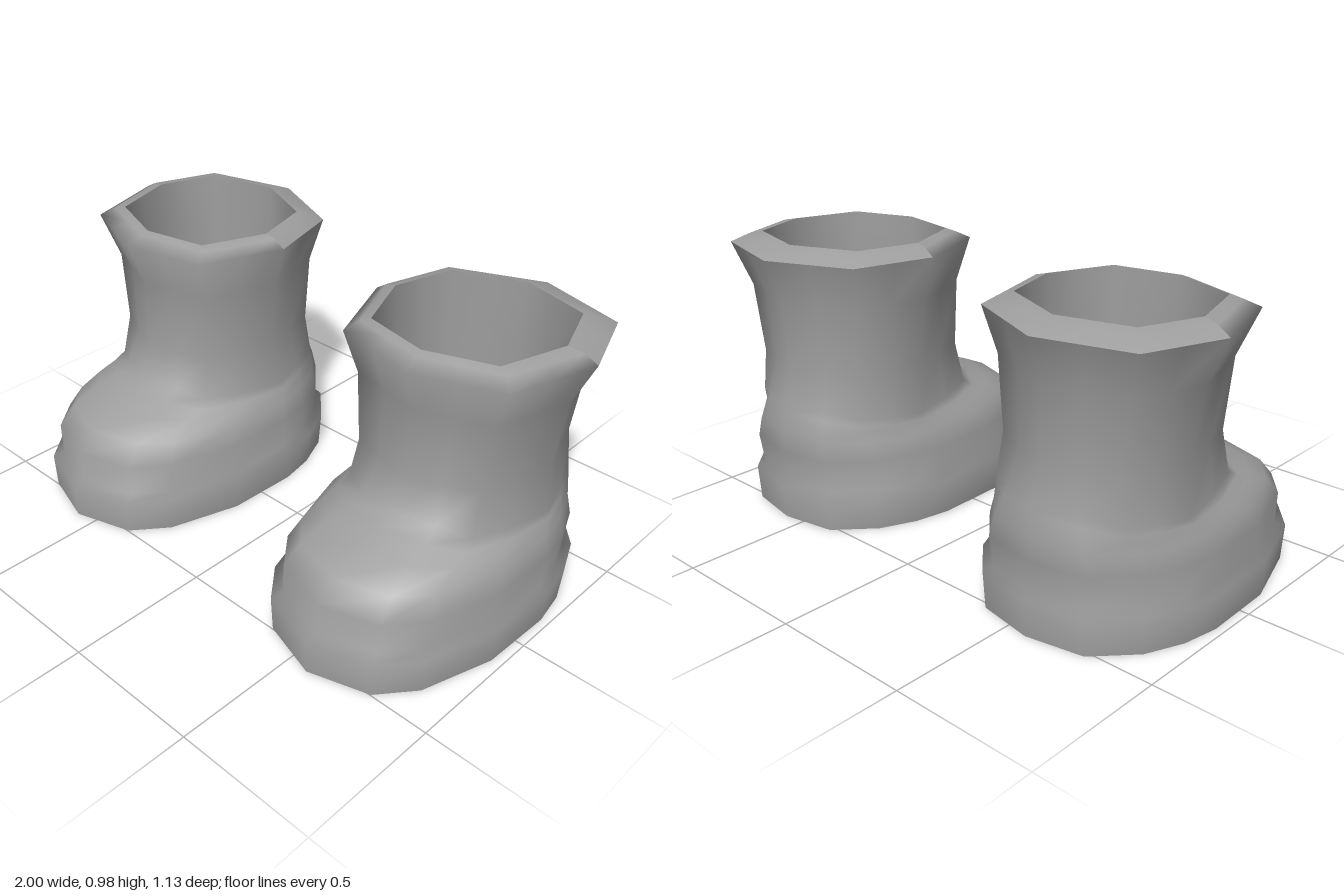
import * as THREE from 'three';

// Half outlines (x, z) from front to back, in units of half width and half length
const FOOT = [[0, 1], [0.53, 0.885], [0.78, 0.67], [0.98, 0.22], [1, -0.25], [0.94, -0.48], [0.8, -0.71], [0.5, -0.935], [0, -1]];
const SHAFT = [[0, 1], [0.37, 0.89], [0.74, 0.78], [0.87, 0.39], [1, 0], [0.89, -0.36], [0.78, -0.72], [0.39, -0.86], [0, -1]];
const SIDES = 16;

// Each ring: [y, half width, front z, back z, outward shift, blend from foot to octagonal shaft, sag at the flanks]
const CUFF = [0.943, 0.393, 0.203, -0.566, 0.043, 1, 0];
const CREST = [0.969, 0.35, 0.145, -0.5, 0.036, 1, 0];
const OPENING = [0.979, 0.305, 0.12, -0.46, 0.03, 1, 0];
const OUTSIDE = [
  [0, 0.395, 0.562, -0.558, 0, 0, 0],
  [0.125, 0.405, 0.565, -0.565, 0, 0, 0],
  [0.137, 0.375, 0.523, -0.535, 0, 0, 0],
  [0.25, 0.376, 0.522, -0.552, 0.004, 0, 0],
  [0.32, 0.35, 0.46, -0.546, 0.006, 0.05, 0.01],
  [0.37, 0.337, 0.35, -0.537, 0.01, 0.2, 0.03],
  [0.4, 0.331, 0.26, -0.53, 0.012, 0.4, 0.045],
  [0.43, 0.323, 0.203, -0.525, 0.015, 0.6, 0.055],
  [0.545, 0.308, 0.155, -0.502, 0.02, 0.9, 0],
  [0.79, 0.337, 0.15, -0.511, 0.028, 1, 0],
  CUFF, CREST, OPENING,
];
const LIP = [CUFF, CREST, OPENING];
const LINING = [
  OPENING,
  [0.78, 0.295, 0.115, -0.46, 0.026, 1, 0],
  [0.25, 0.29, 0.115, -0.46, 0.022, 1, 0],
];

function ringPoints([y, halfWidth, front, back, shift, blend, sag], side) {
  const points = [];
  for (let i = 0; i < SIDES; i++) {
    const k = i <= 8 ? i : SIDES - i;
    const u = THREE.MathUtils.lerp(FOOT[k][0], SHAFT[k][0], blend) * (i <= 8 ? 1 : -1);
    const v = THREE.MathUtils.lerp(FOOT[k][1], SHAFT[k][1], blend);
    const x = u * halfWidth;
    const z = (front + back) / 2 + v * (front - back) / 2;
    // The shaft is turned slightly outward
    points.push(
      x + side * (shift + 0.04 * blend * (z - front)),
      y - sag * u * u,
      z - side * 0.075 * blend * x,
    );
  }
  return points;
}

const isFront = i => i < 4 || i >= 12;

// Smooth skin through a stack of rings, keeping the panels chosen by keep(ring, column)
function loft(name, rings, side, material, keep = () => true) {
  const index = [];
  for (let r = 0; r < rings.length - 1; r++) {
    for (let i = 0; i < SIDES; i++) {
      if (!keep(r, i)) continue;
      const a = r * SIDES + i;
      const b = r * SIDES + (i + 1) % SIDES;
      index.push(a, b, b + SIDES, a, b + SIDES, a + SIDES);
    }
  }
  const geometry = new THREE.BufferGeometry();
  geometry.setAttribute('position', new THREE.Float32BufferAttribute(rings.flatMap(r => ringPoints(r, side)), 3));
  geometry.setIndex(index);
  geometry.computeVertexNormals();
  const mesh = new THREE.Mesh(geometry, material);
  mesh.name = name;
  return mesh;
}

// Flat cap over a ring, facing up or down
function cap(name, ring, side, material, up) {
  const p = ringPoints(ring, side);
  const shape = new THREE.Shape();
  for (let i = 0; i < SIDES; i++) {
    const x = p[i * 3], z = p[i * 3 + 2];
    const y = up ? -z : z;
    if (i) shape.lineTo(x, y); else shape.moveTo(x, y);
  }
  const geometry = new THREE.ShapeGeometry(shape);
  geometry.rotateX(up ? -Math.PI / 2 : Math.PI / 2);
  geometry.translate(0, ring[0], 0);
  const mesh = new THREE.Mesh(geometry, material);
  mesh.name = name;
  return mesh;
}

export function createModel() {
  const material = new THREE.MeshStandardMaterial({ color: 0x9e9e9e });
  const model = new THREE.Group();
  model.name = 'boots';
  const cuffRing = OUTSIDE.indexOf(CUFF);
  for (const side of [1, -1]) {
    const boot = new THREE.Group();
    boot.name = side > 0 ? 'leftBoot' : 'rightBoot';
    boot.add(
      cap('soleBottom', OUTSIDE[0], side, material, false),
      // Sole, foot and shaft run smoothly into the rolled front of the cuff
      loft('soleAndUpper', OUTSIDE, side, material, (r, i) => r < cuffRing || isFront(i)),
      // Behind, the cuff ends in a sharp-edged lip
      loft('backLip', LIP, side, material, (r, i) => !isFront(i)),
      loft('lining', LINING, side, material),
      cap('insole', LINING[2], side, material, true),
    );
    boot.position.x = side * 0.577;
    model.add(boot);
  }
  return model;
}
